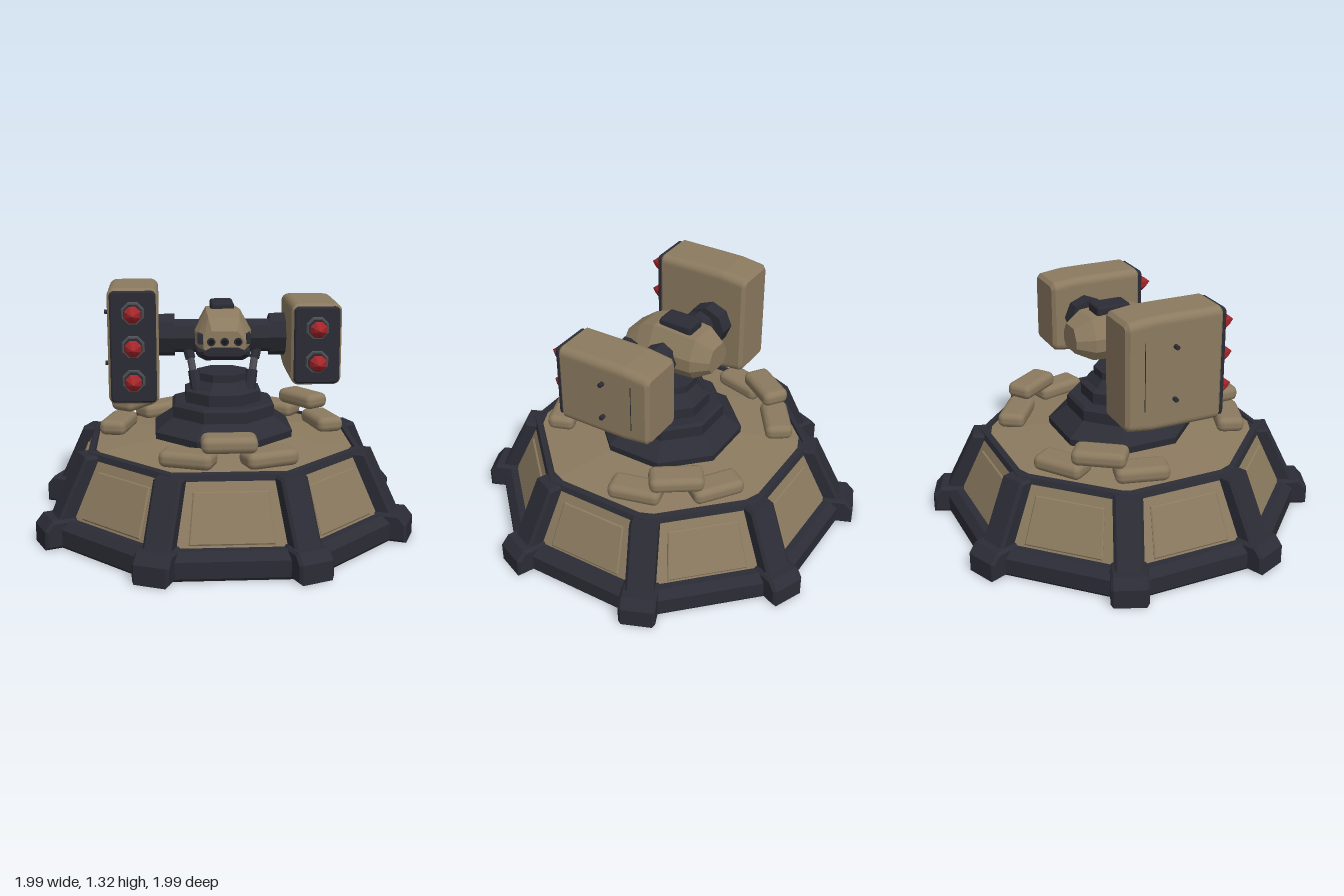
import * as THREE from 'three';
import { RoundedBoxGeometry } from 'three/addons/geometries/RoundedBoxGeometry.js';
import { ConvexGeometry } from 'three/addons/geometries/ConvexGeometry.js';

const material = (name, color) => Object.assign(new THREE.MeshStandardMaterial({ color }), { name });
const tan = material('tan armour', 0x8b7a5f);
const dark = material('dark steel', 0x2b2c35);
const grey = material('grey metal', 0x4a4d52);
const red = material('red warhead', 0xa3262a);
const black = material('black lens', 0x17181c);

function add(parent, name, geometry, mat, x = 0, y = 0, z = 0) {
  const mesh = new THREE.Mesh(geometry, mat);
  mesh.name = name;
  mesh.position.set(x, y, z);
  parent.add(mesh);
  return mesh;
}

function addGroup(parent, name, rotationY = 0) {
  const group = new THREE.Group();
  group.name = name;
  group.rotation.y = rotationY;
  parent.add(group);
  return group;
}

function flat(geometry) {
  const g = geometry.index ? geometry.toNonIndexed() : geometry;
  g.computeVertexNormals();
  return g;
}

// Eight-sided turned solid; profile holds [apothem, y] from bottom to top
const octagon = (profile) => flat(new THREE.LatheGeometry(
  profile.map(([r, y]) => new THREE.Vector2(r / Math.cos(Math.PI / 8), y)), 8, Math.PI / 8));

const polygon = (points) => new THREE.Shape(points.map(([x, y]) => new THREE.Vector2(x, y)));

const extrude = (shape, depth, bevel) => new THREE.ExtrudeGeometry(shape, {
  depth, bevelEnabled: true, bevelSize: bevel, bevelThickness: bevel, bevelOffset: -bevel, bevelSegments: 1,
});

// Convex hull of eight-point sections [z, half width, bottom, top]
function hull(sections) {
  const points = [];
  for (const [z, w, lo, hi] of sections) {
    for (const s of [-1, 1]) {
      for (const [kx, ky] of [[0.72, 0], [1, 0.25], [1, 0.55], [0.6, 1]]) {
        points.push(new THREE.Vector3(s * w * kx, lo + (hi - lo) * ky, z));
      }
    }
  }
  return new ConvexGeometry(points);
}

function buildBase(root) {
  const base = addGroup(root, 'base');
  add(base, 'plinth', octagon([[0, 0], [0.91, 0], [0.92, 0.015], [0.92, 0.1], [0.88, 0.14], [0.8, 0.14]]), dark);
  add(base, 'slopedWall', octagon([[0.845, 0.13], [0.71, 0.45]]), tan);
  add(base, 'deckRim', octagon([[0.67, 0.44], [0.72, 0.435], [0.71, 0.465], [0.68, 0.47], [0.67, 0.44]]), dark);
  add(base, 'deck', octagon([[0.69, 0.455], [0.34, 0.495], [0, 0.495]]), tan);

  const panel = extrude(polygon([[-0.21, 0.022], [0.21, 0.022], [0.185, 0.28], [-0.185, 0.28]]), 0.003, 0.006);
  // Radial section of the corner posts and feet, [radius, y]
  const post = extrude(polygon([[0.75, 0.1], [0.97, 0.1], [0.965, 0.14], [0.81, 0.46], [0.71, 0.46]]), 0.12, 0.014);
  const foot = extrude(polygon([[0.82, 0], [1.043, 0], [1.043, 0.1], [1.0, 0.15], [0.82, 0.15]]), 0.162, 0.014);
  for (let i = 0; i < 8; i++) {
    const side = addGroup(base, 'wallSide', i * Math.PI / 4);
    add(side, 'wallPanel', panel, tan, 0, 0.13, 0.845).rotation.x = -Math.atan2(0.135, 0.32);
    const corner = addGroup(base, 'corner', (i + 0.5) * Math.PI / 4);
    add(corner, 'cornerPost', post, dark, 0, 0, -0.06);
    add(corner, 'cornerFoot', foot, dark, 0, 0, -0.081);
  }
}

function buildSandbags(root) {
  const bag = new RoundedBoxGeometry(0.28, 0.085, 0.15, 2, 0.035);
  for (const centre of [0, 125, -125]) {
    for (const [offset, y] of [[-20, 0.505], [20, 0.505], [0, 0.59]]) {
      const holder = addGroup(root, 'sandbagHolder', THREE.MathUtils.degToRad(centre + offset));
      add(holder, 'sandbag', bag, tan, 0, y, 0.59);
    }
  }
}

function buildPedestal(root) {
  add(root, 'pedestal', octagon([[0.36, 0.47], [0.365, 0.53], [0.27, 0.6], [0.27, 0.66], [0.255, 0.675],
    [0.2, 0.675], [0.2, 0.735], [0.17, 0.75], [0.135, 0.79], [0.135, 0.83], [0, 0.83]]), dark);
}

function addRod(parent, name, a, b, radius, mat) {
  const from = new THREE.Vector3(...a), to = new THREE.Vector3(...b);
  const dir = to.clone().sub(from);
  const rod = add(parent, name, flat(new THREE.CylinderGeometry(radius, radius, dir.length(), 8)), mat);
  rod.position.copy(from).add(to).multiplyScalar(0.5);
  rod.quaternion.setFromUnitVectors(new THREE.Vector3(0, 1, 0), dir.normalize());
}

function buildHead(root) {
  const head = addGroup(root, 'head');
  add(head, 'headShell', hull([[-0.29, 0.085, 0.97, 1.1], [-0.2, 0.135, 0.93, 1.15], [0.04, 0.15, 0.925, 1.17],
    [0.13, 0.135, 0.94, 1.14], [0.215, 0.11, 0.96, 1.08]]), tan);
  add(head, 'chin', hull([[0.06, 0.145, 0.915, 1.0], [0.17, 0.135, 0.92, 1.0], [0.225, 0.11, 0.95, 0.995]]), dark);
  add(head, 'topHatch', new RoundedBoxGeometry(0.125, 0.08, 0.19, 1, 0.015), dark, 0, 1.16, -0.065);
  const lens = flat(new THREE.CylinderGeometry(0.022, 0.022, 0.02, 10).rotateX(Math.PI / 2));
  const pupil = flat(new THREE.CylinderGeometry(0.014, 0.014, 0.008, 10).rotateX(Math.PI / 2));
  for (const x of [-0.07, 0, 0.07]) {
    add(head, 'lensRing', lens, dark, x, 1.025, 0.212);
    add(head, 'lens', pupil, black, x, 1.025, 0.222);
  }

  // Arms and support struts on both sides
  for (const s of [-1, 1]) {
    add(head, 'cheekGuard', new THREE.BoxGeometry(0.025, 0.05, 0.09), dark, s * 0.125, 1.035, 0.16);
    addRod(head, 'arm', [s * 0.12, 1.015, -0.035], [s * 0.27, 1.015, -0.035], 0.09, dark);
    addRod(head, 'podMount', [s * 0.255, 1.015, -0.065], [s * 0.35, 1.015, -0.065], 0.115, dark);
    addRod(head, 'strutRod', [s * 0.18, 0.95, 0], [s * 0.15, 0.78, 0.06], 0.02, grey);
    addRod(head, 'strutSleeve', [s * 0.155, 0.84, 0.045], [s * 0.14, 0.735, 0.08], 0.032, dark);
    addRod(head, 'strutCollar', [s * 0.185, 0.95, 0], [s * 0.172, 0.9, 0.017], 0.028, dark);
  }
}

function roundedRect(w, h, r) {
  const s = new THREE.Shape();
  for (const [x, y, a] of [[1, 1, 0], [-1, 1, 1], [-1, -1, 2], [1, -1, 3]]) {
    s.absarc(x * (w / 2 - r), y * (h / 2 - r), r, a * Math.PI / 2, (a + 1) * Math.PI / 2);
  }
  return s;
}

function buildPod(root, s, yLow, yHigh, tubes, bolts) {
  const pod = addGroup(root, s > 0 ? 'leftPod' : 'rightPod');
  const x = s * 0.47, y = (yLow + yHigh) / 2, h = yHigh - yLow;

  // Shell, narrowing slightly towards the rear
  const shell = new THREE.ExtrudeGeometry(roundedRect(0.26, h, 0.04), {
    depth: 0.49, steps: 4, curveSegments: 3, bevelSize: 0.018, bevelThickness: 0.018, bevelOffset: -0.018, bevelSegments: 1,
  });
  shell.translate(0, 0, -0.23);
  const p = shell.attributes.position;
  for (let i = 0; i < p.count; i++) {
    const t = Math.max(0, -0.1 - p.getZ(i)) / 0.15;
    p.setXY(i, p.getX(i) * (1 - 0.02 * t), p.getY(i) - Math.sign(p.getY(i)) * 0.018 * t);
  }
  add(pod, 'podShell', flat(shell), tan, x, y, 0);
  add(pod, 'podFace', extrude(roundedRect(0.235, h - 0.025, 0.025), 0.012, 0.008), dark, x, y, 0.277);

  // Launch tubes with warheads
  const ring = flat(new THREE.CylinderGeometry(0.058, 0.066, 0.012, 8).rotateY(Math.PI / 8).rotateX(Math.PI / 2));
  const bore = flat(new THREE.CylinderGeometry(0.05, 0.05, 0.008, 8).rotateY(Math.PI / 8).rotateX(Math.PI / 2));
  const warhead = octagon([[0.032, 0], [0.042, 0.045], [0.026, 0.075], [0, 0.107]]).rotateX(Math.PI / 2);
  for (const ty of tubes) {
    add(pod, 'tubeRing', ring, grey, x, ty, 0.299);
    add(pod, 'tubeBore', bore, dark, x, ty, 0.303);
    add(pod, 'warhead', warhead, red, x, ty, 0.297);
  }

  // Outer side bolts and hatch seam
  const bolt = flat(new THREE.CylinderGeometry(0.012, 0.012, 0.035, 8).rotateZ(Math.PI / 2));
  for (const by of bolts) add(pod, 'sideBolt', bolt, dark, s * 0.609, by, 0.01);
  add(pod, 'sideSeam', new THREE.BoxGeometry(0.006, h * 0.6, 0.004), dark, s * 0.597, y, -0.15);
}

export function createModel() {
  const root = new THREE.Group();
  root.name = 'missileTurret';
  buildBase(root);
  buildSandbags(root);
  buildPedestal(root);
  buildHead(root);
  buildPod(root, -1, 0.715, 1.315, [1.19, 1.017, 0.842], [1.155, 0.88]);
  buildPod(root, 1, 0.805, 1.228, [1.105, 0.93], [1.112, 0.92]);
  return root;
}
